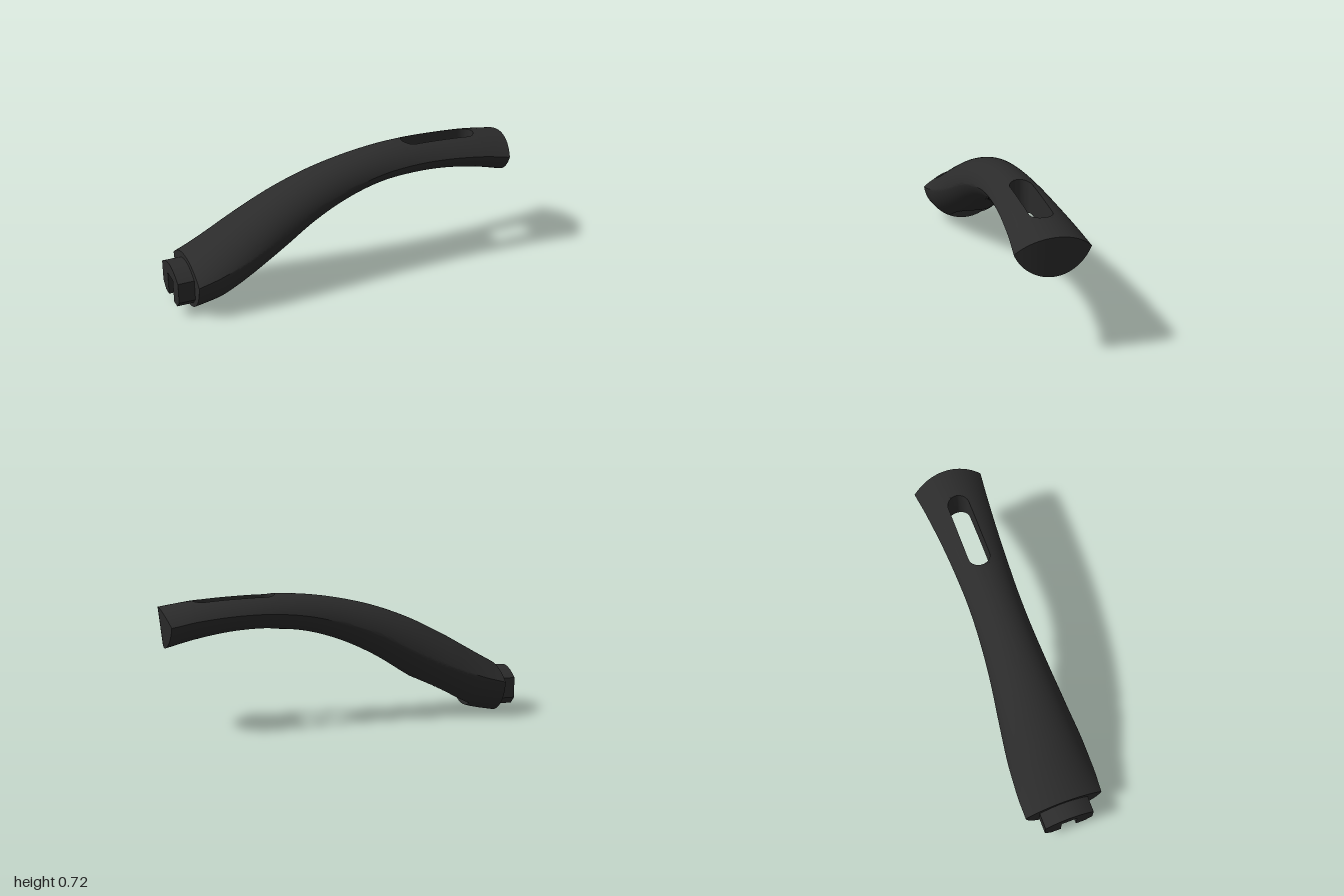
import * as THREE from 'three';
import { toCreasedNormals } from 'three/addons/utils/BufferGeometryUtils.js';

// stations along the handle: x, top y, side edge y, bottom y, half width
const STATIONS = [
  [-0.91, 0.283, 0.2, 0, 0.221], [-0.8, 0.345, 0.23, 0.021, 0.224], [-0.74, 0.38, 0.25, 0.038, 0.222],
  [-0.6, 0.46, 0.3, 0.11, 0.214], [-0.4, 0.56, 0.385, 0.23, 0.19], [-0.2, 0.635, 0.49, 0.357, 0.165],
  [0, 0.685, 0.56, 0.453, 0.148], [0.2, 0.715, 0.61, 0.513, 0.142], [0.4, 0.725, 0.632, 0.533, 0.148],
  [0.6, 0.719, 0.632, 0.528, 0.16], [0.8, 0.704, 0.616, 0.498, 0.178], [1, 0.675, 0.59, 0.455, 0.197]];
const POCKET = { x0: -0.74, x1: -0.4, half: 0.105, y: 0.12 };
const SLOT = { x0: 0.37, x1: 0.82, r: 0.06 };
const HOLE = { y: 0.14, r: 0.03 };

// smooth interpolation of one station column
function at(x, k) {
  const S = STATIONS;
  let i = 0;
  while (i < S.length - 2 && x > S[i + 1][0]) i++;
  const slope = (j) => {
    const a = S[Math.max(j - 1, 0)], b = S[Math.min(j + 1, S.length - 1)];
    return (b[k] - a[k]) / (b[0] - a[0]);
  };
  const h = S[i + 1][0] - S[i][0], t = (x - S[i][0]) / h, t2 = t * t, t3 = t2 * t;
  return (2 * t3 - 3 * t2 + 1) * S[i][k] + (t3 - 2 * t2 + t) * h * slope(i)
    + (3 * t2 - 2 * t3) * S[i + 1][k] + (t3 - t2) * h * slope(i + 1);
}

// height of a circular arc of the given half width and rise
function arc(z, w, rise) {
  const R = (w * w + rise * rise) / (2 * rise);
  return rise - R + Math.sqrt(Math.max(0, R * R - z * z));
}
const topY = (x, z) => at(x, 2) + arc(z, at(x, 4), at(x, 1) - at(x, 2));
const lowY = (x, z) => at(x, 2) - arc(z, at(x, 4), at(x, 2) - at(x, 3));
const roofY = (z) => POCKET.y + Math.sqrt(Math.max(0, POCKET.half ** 2 - z * z));

// half width of the inner strip that carries the pocket and the slot
function innerHalf(x) {
  const { x0, x1, r } = SLOT;
  if (x <= POCKET.x1) return POCKET.half;
  if (x <= x0) return POCKET.half * (x0 - x) / (x0 - POCKET.x1);
  if (x >= x1) return r * (x - x1) / (1 - x1);
  const d = Math.max(0, x0 + r - x, x - x1 + r);
  return Math.sqrt(Math.max(0, r * r - d * d));
}

function rowsAlong() {
  const rows = [-0.91];
  const add = (to, n, ease = (t) => t) => {
    const from = rows[rows.length - 1];
    for (let i = 1; i <= n; i++) rows.push(from + (to - from) * ease(i / n));
  };
  add(POCKET.x0, 6);
  add(POCKET.x1, 40);
  add(SLOT.x0, 26);
  add(SLOT.x0 + SLOT.r, 10, (t) => 1 - Math.cos(t * Math.PI / 2));
  add(SLOT.x1 - SLOT.r, 10);
  add(SLOT.x1, 10, (t) => Math.sin(t * Math.PI / 2));
  add(1, 8);
  return rows;
}

function bodyGeometry() {
  const pos = [], N = 12, rows = rowsAlong();
  // the last stretch is bent so the end face bulges and leans
  const point = (x, y, z) => {
    const k = Math.max(0, (x - SLOT.x1) / (1 - SLOT.x1));
    const bend = 0.03 * (z / at(x, 4)) ** 2 + 0.11 * (at(x, 1) - y);
    return new THREE.Vector3(x - k * bend, y, z);
  };
  const tri = (a, b, c) => {
    const area = b.clone().sub(a).cross(c.clone().sub(a)).length();
    if (area > 1e-9) for (const p of [a, b, c]) pos.push(p.x, p.y, p.z);
  };
  const quad = (a, b, c, d) => { tri(a, b, c); tri(a, c, d); };
  // columns: |v| < 1 inner strip, beyond it the flanks
  const zAt = (x, v) => {
    const a = innerHalf(x), u = Math.abs(v);
    if (u <= 1) return a * Math.sin(v * Math.PI / 2);
    return Math.sign(v) * (a + (at(x, 4) - a) * (1 - (2 - u) ** 2));
  };

  for (let i = 0; i < rows.length - 1; i++) {
    const x0 = rows[i], x1 = rows[i + 1], mid = (x0 + x1) / 2;
    const pocket = mid > POCKET.x0 && mid < POCKET.x1;
    const slot = mid > SLOT.x0 && mid < SLOT.x1;
    for (let j = -2 * N; j < 2 * N; j++) {
      const inner = j >= -N && j < N;
      if (inner && slot) continue;
      const top = (x, v) => { const z = zAt(x, v); return point(x, topY(x, z), z); };
      const low = (x, v) => {
        const z = zAt(x, v), y = lowY(x, z);
        return point(x, inner && pocket ? Math.max(y, roofY(z)) : y, z);
      };
      const v0 = j / N, v1 = (j + 1) / N;
      quad(top(x0, v0), top(x0, v1), top(x1, v1), top(x1, v0));
      quad(low(x0, v0), low(x1, v0), low(x1, v1), low(x0, v1));
    }
    // side walls of the slot and of the pocket
    if (slot || pocket) for (const side of [-1, 1]) {
      const z0 = side * innerHalf(x0), z1 = side * innerHalf(x1);
      const upper = (x, z) => point(x, slot ? topY(x, z) : Math.max(lowY(x, z), POCKET.y), z);
      const lower = (x, z) => point(x, lowY(x, z), z);
      const c = [lower(x0, z0), upper(x0, z0), upper(x1, z1), lower(x1, z1)];
      quad(...(side > 0 ? c : c.reverse()));
    }
  }
  // bulged end face
  for (let j = -2 * N; j < 2 * N; j++) {
    const z0 = zAt(1, j / N), z1 = zAt(1, (j + 1) / N);
    quad(point(1, lowY(1, z0), z0), point(1, topY(1, z0), z0), point(1, topY(1, z1), z1), point(1, lowY(1, z1), z1));
  }
  const geo = new THREE.BufferGeometry();
  geo.setAttribute('position', new THREE.Float32BufferAttribute(pos, 3));
  return toCreasedNormals(geo, 0.6);
}

// flat plate between two height curves, pierced by the screw hole
function piercedPlate(half, low, high) {
  const pts = [], n = 40;
  for (let i = 0; i <= n; i++) {
    const z = -half * Math.cos(Math.PI * i / n);
    pts.push(new THREE.Vector2(z, low(z)));
  }
  for (let i = n; i >= 0; i--) {
    const z = -half * Math.cos(Math.PI * i / n);
    if (high(z) - low(z) > 1e-4) pts.push(new THREE.Vector2(z, high(z)));
  }
  const shape = new THREE.Shape(pts);
  shape.holes.push(new THREE.Path().absarc(0, HOLE.y, HOLE.r, 0, Math.PI * 2, true));
  return new THREE.ShapeGeometry(shape, 24);
}

export function createModel() {
  const group = new THREE.Group();
  const black = new THREE.MeshStandardMaterial({ color: 0x2b2b2b, side: THREE.DoubleSide });
  black.name = 'matte black';
  const add = (name, geo, x = 0, y = 0) => {
    const mesh = new THREE.Mesh(geo, black);
    mesh.name = name;
    mesh.position.set(x, y, 0);
    group.add(mesh);
  };

  add('handleBody', bodyGeometry());

  // mounting end face and the back wall of the screw pocket
  const x0 = STATIONS[0][0];
  add('mountFace', piercedPlate(at(x0, 4), (z) => lowY(x0, z), (z) => topY(x0, z)).rotateY(-Math.PI / 2), x0);
  add('pocketWall', piercedPlate(POCKET.half, (z) => lowY(POCKET.x0, z), roofY).rotateY(Math.PI / 2), POCKET.x0);

  // screw hole
  const len = POCKET.x0 - x0;
  add('screwHole', new THREE.CylinderGeometry(HOLE.r, HOLE.r, len, 32, 1, true).rotateZ(Math.PI / 2), x0 + len / 2, HOLE.y);

  // notched tenon with an arched top
  const tenon = new THREE.Shape();
  tenon.moveTo(-0.14, 0.09).lineTo(-0.1, 0.05);
  tenon.lineTo(-0.045, 0.05).lineTo(-0.045, 0.18).lineTo(0.045, 0.18).lineTo(0.045, 0.05);
  tenon.lineTo(0.1, 0.05).lineTo(0.14, 0.09).lineTo(0.14, 0.205);
  tenon.quadraticCurveTo(0, 0.305, -0.14, 0.205);
  add('tenon', toCreasedNormals(new THREE.ExtrudeGeometry(tenon, { depth: 0.095, bevelEnabled: false, curveSegments: 16 })
    .rotateY(Math.PI / 2), 0.4), -1);
  return group;
}
